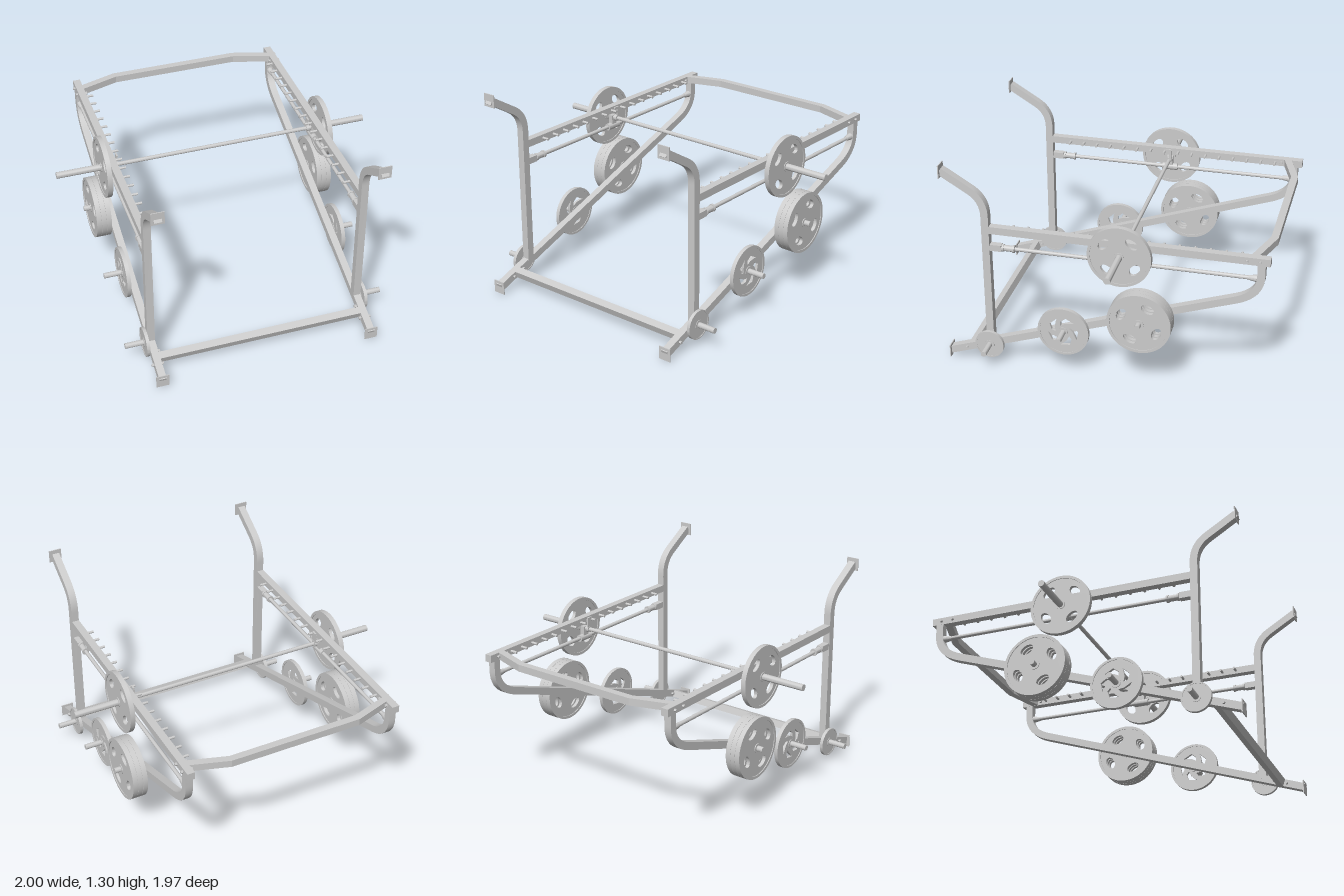
import * as THREE from 'three';
import { toCreasedNormals } from 'three/addons/utils/BufferGeometryUtils.js';

const W = 0.046;   // square tube width
const X = 0.662;   // side frame centre
const PEG_OUT = 0.82;
const grey = new THREE.MeshStandardMaterial({ color: 0xcccccc });

const lowerY = (z) => 0.04 + 0.345 * (0.98 - z);   // centre line of the sloping rail
const slope = Math.atan(0.345);

function add(group, name, geo, x = 0, y = 0, z = 0) {
  const mesh = new THREE.Mesh(geo, grey);
  mesh.name = name;
  mesh.position.set(x, y, z);
  group.add(mesh);
  return mesh;
}

// cylinder lying along x
const rodX = (r, len, seg = 20) => toCreasedNormals(new THREE.CylinderGeometry(r, r, len, seg).rotateZ(Math.PI / 2), 0.6);
const rodZ = (r0, r1, len, seg = 20) => toCreasedNormals(new THREE.CylinderGeometry(r0, r1, len, seg).rotateX(Math.PI / 2), 0.6);

// extrude a (z, y) outline along x, centred
function extrudeX(shape, depth, curveSegments = 24) {
  const g = new THREE.ExtrudeGeometry(shape, { depth, bevelEnabled: false, curveSegments });
  return toCreasedNormals(g.translate(0, 0, -depth / 2).rotateY(-Math.PI / 2), 0.5);
}

// outline of a constant width strip with mitred joints
function strip(points, width = W) {
  const dirs = points.slice(1).map((p, i) => p.clone().sub(points[i]).normalize());
  const left = [], right = [];
  points.forEach((p, i) => {
    const a = dirs[Math.max(i - 1, 0)], b = dirs[Math.min(i, dirs.length - 1)];
    const n = new THREE.Vector2(-a.y - b.y, a.x + b.x).normalize();
    const off = n.multiplyScalar(width / 2 / (-n.x * a.y + n.y * a.x));
    left.push(p.clone().add(off));
    right.unshift(p.clone().sub(off));
  });
  return new THREE.Shape([...left, ...right]);
}

// straight, rounded corner, straight
function bentPath(start, bendA, corner, bendB, end) {
  const v = (p) => new THREE.Vector2(p[0], p[1]);
  const bend = new THREE.QuadraticBezierCurve(v(bendA), v(corner), v(bendB)).getPoints(10);
  return [v(start), ...bend, v(end)];
}

function ring(outer, inner) {
  const s = new THREE.Shape().absarc(0, 0, outer, 0, Math.PI * 2);
  s.holes.push(new THREE.Path().absarc(0, 0, inner, 0, Math.PI * 2, true));
  return s;
}

// four rounded grip openings
function gripHoles(turn) {
  return [0, 1, 2, 3].map((k) => {
    const a = turn + k * Math.PI / 2;
    return new THREE.Path().absellipse(0.118 * Math.cos(a), 0.118 * Math.sin(a), 0.027, 0.042, 0, Math.PI * 2, true, a);
  });
}

// five swirling slots
function swirlHoles() {
  const holes = [];
  for (let k = 0; k < 5; k++) {
    const at = (r, a) => new THREE.Vector2(r * Math.cos(a + k * 1.2566), r * Math.sin(a + k * 1.2566));
    holes.push(new THREE.Path([at(0.045, 0), at(0.07, 0.1), at(0.095, 0.5), at(0.095, 1.15), at(0.078, 0.95), at(0.06, 0.55)]));
  }
  return holes;
}

// weight plate: recessed web, raised rim and hub
function plate(group, name, r, thick, holes, x, y, z) {
  const g = new THREE.Group();
  g.name = name;
  g.position.set(x, y, z);
  const web = ring(r * 0.95, 0.016);
  web.holes.push(...holes);
  add(g, 'plateWeb', extrudeX(web, thick * 0.7));
  add(g, 'plateRim', extrudeX(ring(r, r * 0.91), thick, 40));
  add(g, 'plateHub', extrudeX(ring(0.03, 0.016), thick));
  group.add(g);
}

function sideFrame(s) {
  const g = new THREE.Group();
  g.name = s > 0 ? 'leftSide' : 'rightSide';
  const x = s * X;

  // bent tubes
  const upright = bentPath([0.978, 1.265], [0.8, 1.157], [0.715, 1.105], [0.715, 1.0], [0.715, 0.13]);
  const rail = bentPath([0.978, lowerY(0.978)], [-0.78, lowerY(-0.78)], [-0.925, lowerY(-0.925)], [-0.925, 0.82], [-0.925, 0.9]);
  add(g, 'upright', extrudeX(strip(upright), W), x);
  add(g, 'slopingRail', extrudeX(strip(rail), W - 0.001), x);
  add(g, 'topBeam', new THREE.BoxGeometry(W, W, 1.667), x, 0.913, -0.1415);
  for (const y of [0.04, 1.265]) add(g, 'endPlate', new THREE.BoxGeometry(0.08, 0.08, 0.006), x, y, 0.977);

  // guide rod with its end fittings
  add(g, 'guideRod', rodZ(0.012, 0.012, 1.6), x, 0.796, -0.105);
  add(g, 'guideBlock', new THREE.BoxGeometry(0.04, 0.04, 0.07), x, 0.796, 0.657);
  for (const z of [0.613, 0.548]) add(g, 'guideCollar', rodZ(0.023, 0.023, 0.013), x, 0.796, z);
  add(g, 'guideBuffer', rodZ(0.019, 0.019, 0.06), x, 0.796, 0.58);
  add(g, 'guideSocket', rodZ(0.014, 0.022, 0.05), x, 0.796, -0.875);

  // row of locking pegs along the inside of the beam
  for (let i = 0; i < 16; i++) add(g, 'lockPeg', rodX(0.008, 0.05, 10), s * 0.62, 0.913, -0.8 + i * 0.091);

  // bolts
  for (const z of [-0.915, -0.84]) add(g, 'bolt', rodX(0.009, 0.075, 6), x, 0.913, z);
  for (const z of [0.87, 0.79]) add(g, 'bolt', rodX(0.009, 0.075, 6), x, lowerY(z), z);

  // stored plates on their pegs
  const storage = (z) => {
    const len = PEG_OUT - 0.68;
    add(g, 'storagePeg', rodX(0.017, len), s * (0.68 + len / 2), lowerY(z), z);
  };
  [-0.235, 0.245, 0.717].forEach(storage);
  for (let i = 0; i < 3; i++) plate(g, 'largeStoredPlate', 0.193, 0.031, gripHoles(0.464), s * (0.702 + i * 0.032), lowerY(-0.235), -0.235);
  plate(g, 'mediumStoredPlate', 0.158, 0.025, swirlHoles(), s * 0.699, lowerY(0.245), 0.245);
  plate(g, 'smallStoredPlate', 0.09, 0.02, [], s * 0.696, lowerY(0.717), 0.717);

  // barbell end: sleeve, loaded plate, carriage and hook
  const by = 0.856, bz = -0.105;
  add(g, 'barSleeve', rodX(0.02, 0.315), s * 0.8425, by, bz);
  plate(g, 'loadedPlate', 0.191, 0.031, gripHoles(0.68), s * 0.709, by, bz);
  add(g, 'carriageSleeve', rodZ(0.022, 0.022, 0.1), x, 0.796, bz);
  add(g, 'carriageBlock', new THREE.BoxGeometry(0.03, 0.06, 0.04), x, 0.84, bz);
  add(g, 'hookCollar', rodX(0.02, 0.02), s * 0.625, by, bz);
  add(g, 'hookArm', new THREE.BoxGeometry(0.01, 0.08, 0.014), s * 0.622, 0.885, bz - 0.008);
  add(g, 'hookTip', new THREE.BoxGeometry(0.01, 0.014, 0.035), s * 0.622, 0.927, bz + 0.005);
  return g;
}

export function createModel() {
  const model = new THREE.Group();
  model.name = 'barbellRack';
  model.add(sideFrame(1), sideFrame(-1));

  add(model, 'bar', rodX(0.0125, 1.4), 0, 0.856, -0.105);

  // lower front cross tube, tilted with the rails
  const cross = add(model, 'frontCrossTube', new THREE.BoxGeometry(1.28, W, W), 0, lowerY(0.83), 0.83);
  cross.rotation.x = slope;

  // bowed rear cross tube, outline in (x, -z)
  const bow = [[-0.645, 0.882], [-0.41, 0.957], [0.41, 0.957], [0.645, 0.882]].map((p) => new THREE.Vector2(...p));
  const rear = new THREE.ExtrudeGeometry(strip(bow, 0.044), { depth: 0.044, bevelEnabled: false });
  add(model, 'rearCrossTube', rear.translate(0, 0, -0.022).rotateX(-Math.PI / 2), 0, 0.914, 0);

  return model;
}
